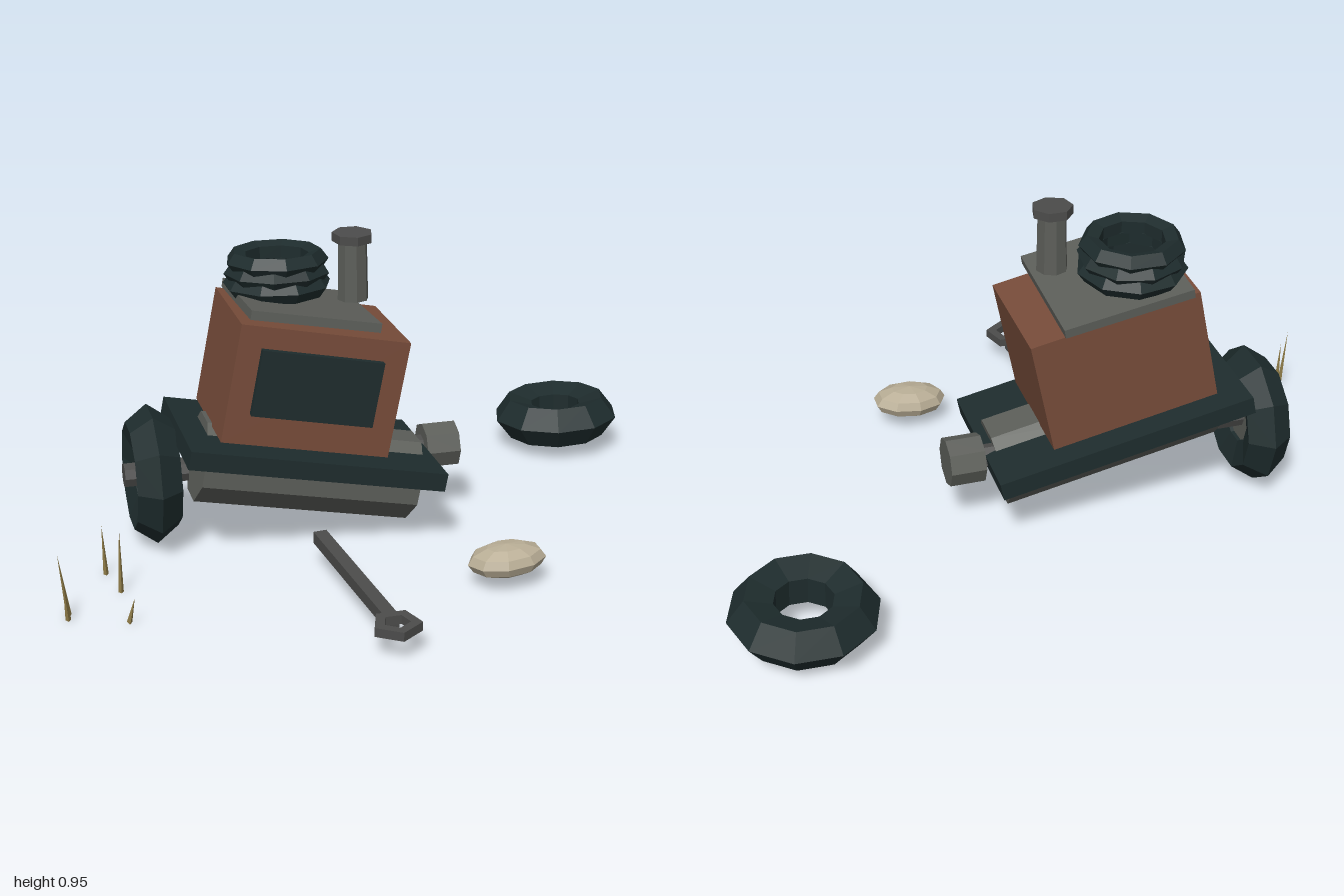
import * as THREE from 'three';

const mat = (name, color) => {
  const m = new THREE.MeshStandardMaterial({ color, flatShading: true });
  m.name = name;
  return m;
};

export function createModel() {
  const rust = mat('rustBrown', 0x774c3a);
  const rubber = mat('darkRubber', 0x1e2c2d);
  const steel = mat('greySteel', 0x5c5e59);
  const iron = mat('darkIron', 0x4c4c4b);
  const pale = mat('paleStone', 0xb8ad95);
  const straw = mat('dryStraw', 0x8f7c48);

  const model = new THREE.Group();
  const TILT = -0.2; // the machine leans down towards its left side
  const add = (name, geo, material, pos, rot = [0, 0, 0], parent = model) => {
    const mesh = new THREE.Mesh(geo, material);
    mesh.name = name;
    mesh.position.set(...pos);
    mesh.rotation.set(...rot);
    parent.add(mesh);
    return mesh;
  };
  const box = (x, y, z) => new THREE.BoxGeometry(x, y, z);
  // cylinder lying along x, turned so that a flat facet can face up
  const xCylinder = (r, length, sides, turn = 0) =>
    new THREE.CylinderGeometry(r, r, length, sides).rotateY(turn).rotateZ(Math.PI / 2);

  // Leaning machine body
  const body = new THREE.Group();
  body.name = 'machineBody';
  model.add(body);
  add('chassisPlate', box(0.78, 0.055, 0.48), rubber, [-0.215, 0.285, -0.115], [0, 0, TILT], body);
  add('tank', xCylinder(0.135, 0.67, 8, Math.PI / 8), steel, [-0.207, 0.214, -0.113], [0, 0, TILT], body);
  add('housing', box(0.507, 0.355, 0.385), rust, [-0.215, 0.515, -0.113], [0, 0, TILT], body);
  add('frontPanel', box(0.365, 0.197, 0.022), rubber, [-0.215, 0.532, 0.095], [0, 0, TILT], body);
  add('lid', box(0.385, 0.027, 0.42), steel, [-0.215, 0.723, -0.113], [-0.05, 0, TILT + 0.015], body);

  // Exhaust pipe with cap
  add('exhaustPipe', new THREE.CylinderGeometry(0.043, 0.046, 0.17, 8), steel, [-0.068, 0.83, -0.06]);
  add('exhaustCap', new THREE.CylinderGeometry(0.06, 0.06, 0.026, 7), iron, [-0.068, 0.932, -0.062], [0.04, 0, 0]);

  // Coiled hose on the lid
  for (let i = 0; i < 3; i++) {
    const ring = new THREE.TorusGeometry(0.125 + 0.004 * (1 - i), 0.032, 5, 9).rotateX(Math.PI / 2);
    add('hoseCoil' + (i + 1), ring, rubber, [-0.27, 0.778 + i * 0.036, -0.17], [-0.03, i * 0.25, 0]);
  }

  // Mounted wheel, axle and the bare hub at the other end
  const tyre = new THREE.TorusGeometry(0.14, 0.07, 5, 10);
  add('mountedTyre', tyre, rubber, [-0.664, 0.215, -0.173], [0, Math.PI / 2, 0]);
  add('wheelHub', xCylinder(0.1, 0.06, 10), steel, [-0.664, 0.215, -0.173]);
  add('axle', xCylinder(0.038, 0.19, 8), iron, [-0.653, 0.218, -0.173]);
  add('axleStub', xCylinder(0.035, 0.14, 7), iron, [0.13, 0.215, -0.17]);
  add('bareHub', xCylinder(0.073, 0.105, 8), steel, [0.232, 0.215, -0.168]);

  // Loose tyre on the ground
  add('looseTyre', tyre, rubber, [0.79, 0.11, -0.59], [Math.PI / 2 - 0.045, 0.035, 0]);

  // Spanner: bar plus five-sided ring
  const spanner = new THREE.Group();
  spanner.name = 'spanner';
  model.add(spanner);
  add('spannerBar', box(0.04, 0.036, 0.555), iron, [-0.192, 0.075, 0.403], [0.035, 0.11, 0], spanner);
  const pentagon = (Type, r) => {
    const s = new Type();
    for (let i = 0; i < 5; i++) {
      const a = -Math.PI / 2 + (i * Math.PI * 2) / 5;
      s[i ? 'lineTo' : 'moveTo'](r * Math.cos(a), r * Math.sin(a));
    }
    s.closePath();
    return s;
  };
  const ringShape = pentagon(THREE.Shape, 0.07);
  ringShape.holes.push(pentagon(THREE.Path, 0.038));
  const ringGeo = new THREE.ExtrudeGeometry(ringShape, { depth: 0.026, bevelEnabled: false });
  add('spannerRing', ringGeo, iron, [-0.163, 0.064, 0.722], [-Math.PI / 2, 0, 0], spanner);

  // Stone
  add('stone', new THREE.SphereGeometry(1, 9, 6), pale, [0.257, 0.078, 0.41], [0, 0, 0.06])
    .scale.set(0.117, 0.048, 0.08);

  // Dry grass blades: base x, base z, tip x, tip z, height
  const blades = [
    [-0.84, 0.035, -0.845, 0.02, 0.15],
    [-0.815, 0.165, -0.81, 0.145, 0.19],
    [-0.975, 0.27, -0.998, 0.277, 0.19],
    [-0.98, 0.3, -0.99, 0.305, 0.13],
    [-0.82, 0.36, -0.805, 0.375, 0.08],
  ];
  const up = new THREE.Vector3(0, 1, 0);
  blades.forEach(([x, z, tx, tz, h], i) => {
    const dir = new THREE.Vector3(tx - x, h, tz - z);
    const blade = add('grassBlade' + (i + 1), new THREE.ConeGeometry(0.009, dir.length(), 3), straw,
      [(x + tx) / 2, h / 2, (z + tz) / 2]);
    blade.quaternion.setFromUnitVectors(up, dir.normalize());
  });

  return model;
}
